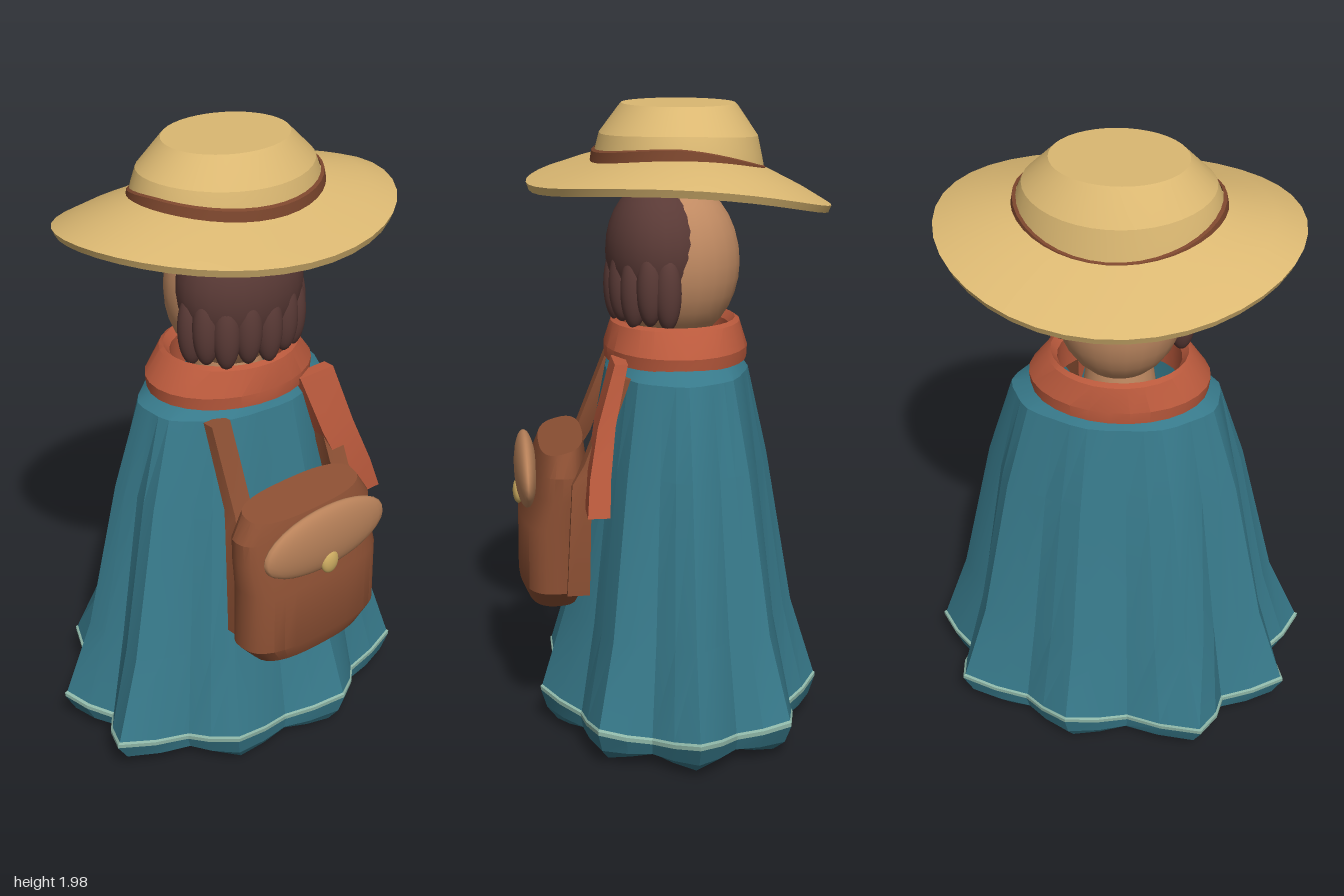
import * as THREE from 'three';
import { toCreasedNormals } from 'three/addons/utils/BufferGeometryUtils.js';

const mat = (name, color, side = THREE.FrontSide) => {
  const m = new THREE.MeshStandardMaterial({ color, side });
  m.name = name;
  return m;
};

// One horizontal cross-section; power 1 = ellipse, 0.5 = rounded box, 0 = box
function ring(cx, y, cz, rx, rz, n = 24, power = 1, phase = 0) {
  const pts = [];
  for (let j = 0; j < n; j++) {
    const a = phase + (j / n) * Math.PI * 2, c = Math.cos(a), s = Math.sin(a);
    const p = (v) => Math.sign(v) * Math.pow(Math.abs(v), power);
    pts.push(new THREE.Vector3(cx + rx * p(c), y, cz + rz * p(s)));
  }
  return pts;
}
const boxRing = (cx, y, cz, rx, rz) => ring(cx, y, cz, rx, rz, 4, 0, Math.PI / 4);

// Skin closed rings, listed from the top down
function loft(rings, capTop, capEnd, crease = 0.5) {
  const n = rings[0].length, pos = rings.flat().flatMap((p) => [p.x, p.y, p.z]), idx = [];
  for (let i = 0; i < rings.length - 1; i++) {
    for (let j = 0; j < n; j++) {
      const k = (j + 1) % n, a = i * n + j, b = i * n + k;
      idx.push(a, b, b + n, a, b + n, a + n);
    }
  }
  const cap = (i, flip) => {
    const c = new THREE.Vector3();
    rings[i].forEach((p) => c.addScaledVector(p, 1 / n));
    const ci = pos.length / 3;
    pos.push(c.x, c.y, c.z);
    for (let j = 0; j < n; j++) {
      const a = i * n + j, b = i * n + ((j + 1) % n);
      idx.push(ci, flip ? b : a, flip ? a : b);
    }
  };
  if (capTop) cap(0, true);
  if (capEnd) cap(rings.length - 1, false);
  const g = new THREE.BufferGeometry();
  g.setAttribute('position', new THREE.Float32BufferAttribute(pos, 3));
  g.setIndex(idx);
  return toCreasedNormals(g, crease);
}

export function createModel() {
  const group = new THREE.Group();
  const teal = mat('teal cloth', 0x37798a, THREE.DoubleSide);
  const trim = mat('pale trim', 0x8db5a6, THREE.DoubleSide);
  const rust = mat('rust scarf', 0xb9593c);
  const leather = mat('brown leather', 0x8b4f33);
  const tan = mat('tan leather', 0xb9825a);
  const skin = mat('skin', 0xc08a62);
  const hairMat = mat('dark hair', 0x5a3a36);
  const straw = mat('straw', 0xdbb872);
  const band = mat('hat band brown', 0x7c462d, THREE.DoubleSide);
  const brass = mat('brass', 0xcfae62);

  const add = (name, geo, material, parent = group) => {
    const m = new THREE.Mesh(geo, material);
    m.name = name;
    parent.add(m);
    return m;
  };
  const ball = (name, material, p, r, parent) => {
    const m = add(name, new THREE.SphereGeometry(1, 24, 16), material, parent);
    m.position.set(...p);
    m.scale.set(...r);
    return m;
  };

  // Cloak: nine uneven pleats that deepen towards a wavy hem
  const reach = [0, 0, 0, 0, 0.07, 0.02, 0.11, 0, 0.02];
  const pleated = ([y, rx, rz, depth, wave]) => {
    const pts = ring(0, y, 0, rx, rz, 36);
    pts.forEach((p, j) => {
      const c = Math.cos((j / 36) * Math.PI * 18), peak = (1 + c) / 2;
      const grow = reach[Math.round(j / 4) % 9] * peak * (depth / 0.16) ** 2;
      p.multiplyScalar(1 - depth * (1 - peak) + grow);
      p.y = y + wave * c;
      p.z -= 0.02;
    });
    return pts;
  };
  const edgeTop = [0.13, 0.61, 0.455, 0.16, 0.016], edgeLow = [0.112, 0.619, 0.46, 0.16, 0.016];
  const cloak = [
    [1.215, 0.27, 0.2, 0, 0], [1.18, 0.335, 0.228, 0.03, 0], [0.9, 0.42, 0.29, 0.08, 0],
    [0.4, 0.525, 0.375, 0.12, 0], edgeTop,
  ].map(pleated);
  const hem = [edgeTop, [0.125, 0.619, 0.461, 0.16, 0.016], edgeLow].map(pleated);
  const fold = [edgeLow, [0.06, 0.585, 0.44, 0.14, 0.004], [0.032, 0.52, 0.405, 0.08, -0.016]].map(pleated);
  add('cloak', loft(cloak, false, false, 0.25), teal);
  add('hemTrim', loft(hem, false, false, 0.25), trim);
  add('hemFold', loft(fold, false, false, 0.25), teal);

  // Scarf: hollow collar and a hanging tail
  const collar = [[1.2, 0.2, 0.17], [1.31, 0.195, 0.17], [1.335, 0.215, 0.19], [1.325, 0.228, 0.205],
    [1.25, 0.285, 0.228], [1.21, 0.28, 0.226]].map(([y, rx, rz]) => ring(-0.01, y, -0.02, rx, rz, 28));
  add('scarfCollar', loft(collar, false, true, 0.4), rust);
  const tail = [[0.17, 1.235, 0.175, 0.07, 0.02], [0.215, 1.05, 0.225, 0.066, 0.027],
    [0.275, 0.9, 0.25, 0.06, 0.032], [0.318, 0.79, 0.258, 0.054, 0.034]].map((s) => boxRing(...s));
  add('scarfTail', loft(tail, true, true), rust);

  // Head, with the face turned to -z
  const head = new THREE.Group();
  head.name = 'head';
  group.add(head);
  ball('face', skin, [-0.01, 1.51, -0.022], [0.2, 0.254, 0.203], head);
  const neck = add('neck', new THREE.CylinderGeometry(0.1, 0.12, 0.15, 20), skin, head);
  neck.position.set(-0.01, 1.24, -0.02);
  ball('hairCap', hairMat, [-0.01, 1.545, 0.033], [0.217, 0.22, 0.167], head);
  for (let i = 0; i < 9; i++) {
    const a = (i / 8) * Math.PI;
    ball('hairLock', hairMat, [-0.008 + 0.188 * Math.cos(a), 1.44 + 0.012 * (i % 2), 0.025 + 0.14 * Math.sin(a)],
      [0.044, 0.118, 0.042], head);
  }

  // Sun hat: the brim droops front and back, most where it meets the crown
  const hat = new THREE.Group();
  hat.name = 'hat';
  group.add(hat);
  const hatRing = ([y, r]) => {
    const pts = ring(-0.01, y, -0.03, r, r * 0.86, 40);
    const w = THREE.MathUtils.clamp((1.95 - y) / 0.07, 0, 1);
    const t = THREE.MathUtils.clamp((r - 0.31) / 0.24, 0, 1);
    pts.forEach((p) => { p.y += w * ((0.01 + 0.05 * t) * p.z - (0.55 - 0.25 * t) * p.z * p.z); });
    return pts;
  };
  const crown = [[2, 0.205], [1.99, 0.215], [1.92, 0.285], [1.885, 0.3], [1.855, 0.308], [1.847, 0.35],
    [1.825, 0.46], [1.795, 0.55], [1.772, 0.54], [1.803, 0.45], [1.835, 0.325], [1.85, 0.28],
    [1.9, 0.25], [1.95, 0.2]].map(hatRing);
  add('strawHat', loft(crown, true, true, 0.35), straw);
  // The ribbon sinks through the brim at the back
  const ribbon = [[1.886, 0.302], [1.883, 0.313], [1.852, 0.319], [1.849, 0.308]].map(hatRing);
  ribbon.flat().forEach((p) => { p.y += 0.1 * Math.min(p.z, 0); });
  add('hatBand', loft(ribbon, false, false), band);

  // Satchel: rounded front that leans back behind the flap
  const bag = new THREE.Group();
  bag.name = 'satchel';
  group.add(bag);
  const body = [[0.945, 0.225, 0.35, 0.07], [0.875, 0.265, 0.355, 0.085], [0.8, 0.265, 0.36, 0.09],
    [0.71, 0.265, 0.38, 0.108], [0.5, 0.265, 0.38, 0.11], [0.44, 0.21, 0.38, 0.085]]
    .map(([y, rx, cz, rz]) => ring(-0.035, y, cz, rx, rz, 32, 0.75));
  body[0].forEach((p) => { p.y -= (p.z - 0.35) * 0.25; });
  add('satchelBody', loft(body, true, true), leather, bag);
  ball('satchelFlap', tan, [-0.035, 0.84, 0.463], [0.25, 0.11, 0.036], bag);
  ball('satchelClasp', brass, [-0.035, 0.765, 0.487], [0.033, 0.042, 0.018], bag);

  // Straps run from the shoulders down beside the satchel
  const straps = { leftStrap: [0.19, 0.195, 0.22], rightStrap: [-0.215, -0.215, -0.24] };
  for (const [name, [top, mid, low]] of Object.entries(straps)) {
    const path = [[top, 1.185, 0.165, 0.036, 0.02], [mid, 0.92, 0.265, 0.035, 0.025],
      [low, 0.86, 0.3, 0.032, 0.03], [low, 0.5, 0.315, 0.03, 0.035]].map((s) => boxRing(...s));
    add(name, loft(path, true, true), leather, bag);
  }
  return group;
}
